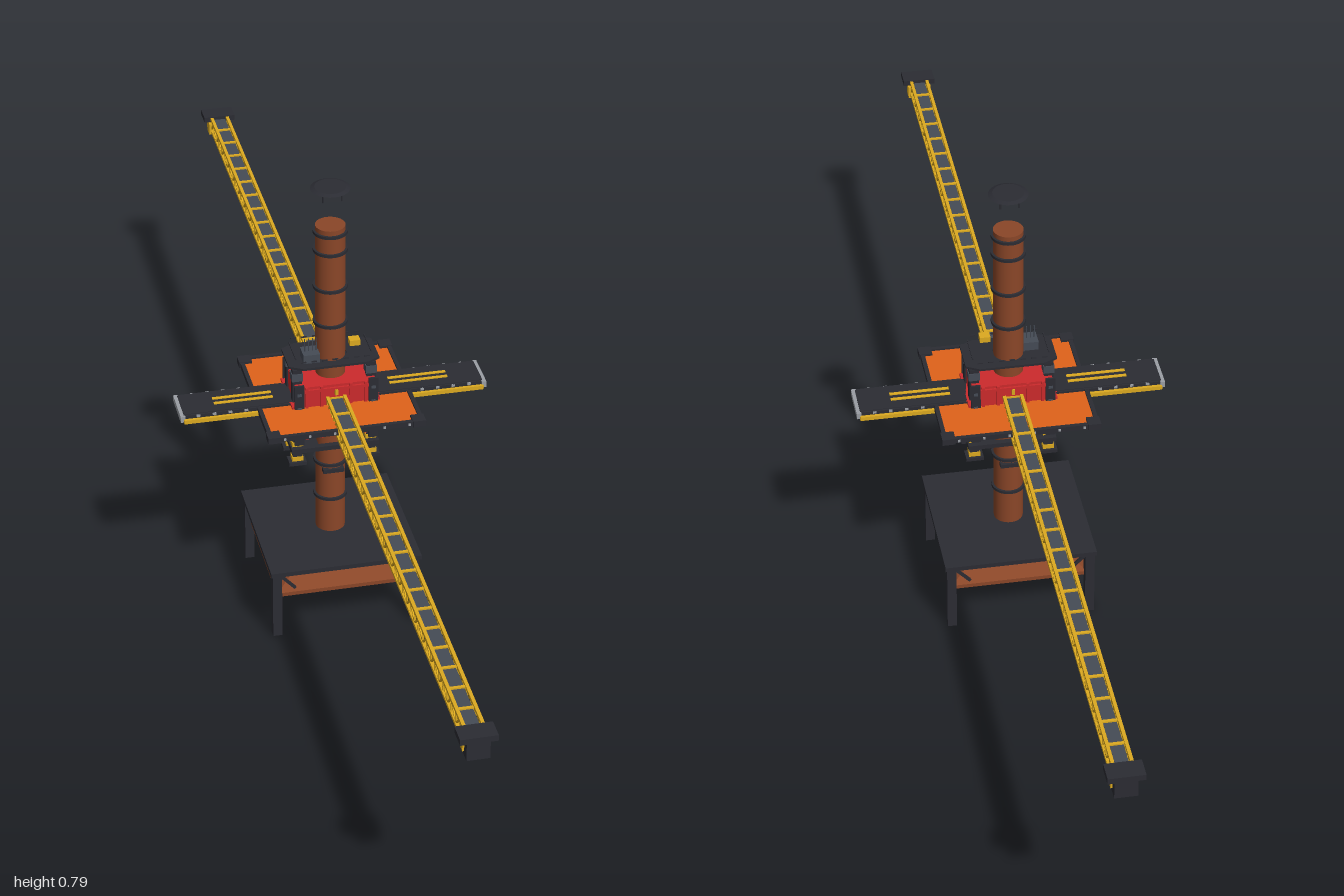
import * as THREE from 'three';

export function createModel() {
  const root = new THREE.Group();
  const mat = (name, color, side = THREE.FrontSide) => {
    const m = new THREE.MeshStandardMaterial({ color, side });
    m.name = name;
    return m;
  };
  const dark = mat('dark steel', 0x2b2c33);
  const brown = mat('rust brown', 0x8a4628, THREE.DoubleSide);
  const red = mat('red paint', 0xcc2a2c);
  const yellow = mat('yellow paint', 0xdcaa20);
  const orange = mat('orange deck', 0xe0621a);
  const grey = mat('light grey', 0x9a9ea4);
  const belt = mat('belt grey', 0x454b55);

  const group = (name, parent = root) => {
    const g = new THREE.Group();
    g.name = name;
    parent.add(g);
    return g;
  };
  const add = (parent, name, geo, m, x = 0, y = 0, z = 0) => {
    const mesh = new THREE.Mesh(geo, m);
    mesh.name = name;
    mesh.position.set(x, y, z);
    parent.add(mesh);
    return mesh;
  };
  const box = (p, name, m, w, h, d, x, y, z) => add(p, name, new THREE.BoxGeometry(w, h, d), m, x, y, z);
  const cyl = (p, name, m, rt, rb, h, x, y, z, n = 24) =>
    add(p, name, new THREE.CylinderGeometry(rt, rb, h, n), m, x, y, z);
  // Square bar between two points
  const strut = (p, name, m, a, b, t) => {
    const A = new THREE.Vector3(...a), B = new THREE.Vector3(...b);
    const mesh = box(p, name, m, t, t, A.distanceTo(B), 0, 0, 0);
    mesh.position.copy(A).lerp(B, 0.5);
    mesh.lookAt(B);
  };
  const signs = [-1, 1];

  // Table on four braced legs
  const base = group('baseTable');
  box(base, 'tableTop', dark, 0.26, 0.008, 0.26, 0, 0.1255, 0);
  for (const sx of signs) for (const sz of signs) {
    box(base, 'tableLeg', dark, 0.016, 0.123, 0.016, sx * 0.119, 0.0615, sz * 0.119);
    strut(base, 'legBrace', dark, [sx * 0.114, 0.119, sz * 0.119], [sx * 0.086, 0.086, sz * 0.114], 0.005);
    strut(base, 'legBrace', dark, [sx * 0.119, 0.119, sz * 0.114], [sx * 0.114, 0.086, sz * 0.086], 0.005);
  }

  // Open hood under the table
  const squareShell = (top, bottom, h) => {
    const g = new THREE.CylinderGeometry(top * Math.SQRT2, bottom * Math.SQRT2, h, 4, 1, true);
    g.rotateY(Math.PI / 4);
    const flat = g.toNonIndexed();
    flat.computeVertexNormals();
    return flat;
  };
  const hood = group('hood');
  add(hood, 'hoodSlope', squareShell(0.05, 0.117, 0.034), brown, 0, 0.0965, 0);
  add(hood, 'hoodSkirt', squareShell(0.117, 0.117, 0.007), brown, 0, 0.076, 0);
  box(hood, 'hoodTop', brown, 0.1, 0.002, 0.1, 0, 0.1135, 0);

  // Chimney stack with bands and rain cap
  const stack = group('stack');
  cyl(stack, 'stackPipe', brown, 0.025, 0.025, 0.602, 0, 0.416, 0, 32);
  for (const y of [0.196, 0.264, 0.332, 0.468, 0.536, 0.603, 0.672, 0.706])
    cyl(stack, 'stackBand', dark, 0.029, 0.029, 0.005, 0, y, 0, 32);
  box(stack, 'stackBracket', dark, 0.036, 0.007, 0.058, 0, 0.254, 0);
  const cap = group('rainCap', stack);
  cyl(cap, 'capDisc', dark, 0.026, 0.033, 0.003, 0, 0.786, 0);
  for (const sx of signs) for (const sz of signs)
    cyl(cap, 'capPin', dark, 0.0015, 0.0015, 0.018, sx * 0.0155, 0.776, sz * 0.0155, 6);

  // Red machine housing with ribs and side covers
  const housing = group('housing');
  box(housing, 'housingBody', red, 0.124, 0.1, 0.09, 0, 0.387, 0);
  for (const s of signs) {
    box(housing, 'sideCover', red, 0.012, 0.062, 0.094, s * 0.069, 0.372, 0);
    box(housing, 'upperSideCover', red, 0.006, 0.034, 0.09, s * 0.065, 0.42, 0);
    for (const z of [-0.03, 0.03]) box(housing, 'coverRib', red, 0.003, 0.06, 0.006, s * 0.0755, 0.372, z);
    for (const x of [-0.05, -0.025, 0.025, 0.05])
      box(housing, 'housingRib', red, 0.005, 0.1, 0.005, x, 0.387, s * 0.046);
    for (const y of [0.345, 0.43])
      box(housing, 'housingRail', red, 0.124, 0.005, 0.004, 0, y, s * 0.0465);
    for (const y of [0.35, 0.366, 0.424])
      box(housing, 'centreMark', yellow, 0.005, 0.01, 0.006, 0, y, s * 0.048);
    box(housing, 'clampBar', dark, 0.11, 0.008, 0.006, 0, 0.378, s * 0.049);
  }

  // Tall side posts with striped feet
  const frame = group('postFrame');
  for (const sx of signs) {
    for (const sz of signs) {
      const x = sx * 0.063, z = sz * 0.025;
      box(frame, 'post', dark, 0.016, 0.18, 0.014, x, 0.374, z);
      box(frame, 'postHead', belt, 0.019, 0.014, 0.017, x, 0.45, z);
      box(frame, 'postFoot', dark, 0.03, 0.006, 0.024, x, 0.282, z);
      for (const y of [0.29, 0.319]) box(frame, 'postStripe', yellow, 0.019, 0.008, 0.017, x, y, z);
      // Outer rail over the housing face
      box(frame, 'faceRail', dark, 0.016, 0.116, 0.004, x, 0.385, sz * 0.0475);
      for (let i = 0; i < 4; i++)
        box(frame, 'railBolt', belt, 0.007, 0.005, 0.003, x, 0.345 + i * 0.027, sz * 0.049);
    }
    box(frame, 'lowerCrossBeam', dark, 0.15, 0.008, 0.01, 0, 0.311, sx * 0.038);
    box(frame, 'lowerSideBeam', dark, 0.012, 0.008, 0.084, sx * 0.069, 0.311, 0);
    box(frame, 'lowerWalk', dark, 0.03, 0.004, 0.076, sx * 0.042, 0.311, 0);
  }

  // Upper service platform with railing and equipment
  const platform = group('upperPlatform');
  const deck = new THREE.Shape([[-0.077, -0.03], [-0.055, -0.042], [0.055, -0.042], [0.077, -0.03],
    [0.077, 0.03], [0.055, 0.042], [-0.055, 0.042], [-0.077, 0.03]].map(p => new THREE.Vector2(...p)));
  deck.holes.push(new THREE.Path().absarc(0, 0, 0.027, 0, Math.PI * 2, true));
  const deckGeo = new THREE.ExtrudeGeometry(deck, { depth: 0.004, bevelEnabled: false });
  deckGeo.rotateX(-Math.PI / 2);
  add(platform, 'platformDeck', deckGeo, dark, 0, 0.468, 0);
  for (const s of signs) {
    for (let i = 0; i < 7; i++)
      box(platform, 'railing', dark, 0.009, 0.002, 0.002, -0.054 + i * 0.018, 0.483, s * 0.04);
    box(platform, 'railing', dark, 0.002, 0.002, 0.056, s * 0.064, 0.483, 0);
  }
  box(platform, 'controlBox', belt, 0.028, 0.017, 0.03, -0.037, 0.479, 0.012);
  for (let i = 0; i < 4; i++)
    cyl(platform, 'antenna', belt, 0.001, 0.001, 0.024, -0.046 + i * 0.0065, 0.499, 0.012, 6);
  box(platform, 'lampBox', yellow, 0.018, 0.01, 0.016, 0.038, 0.497, 0.012);

  // Orange deck with a dark studded border
  const tray = group('orangeDeck');
  box(tray, 'deckPlate', orange, 0.25, 0.005, 0.25, 0, 0.396, 0);
  for (const s of signs) {
    box(tray, 'deckEdge', dark, 0.262, 0.009, 0.007, 0, 0.397, s * 0.1275);
    box(tray, 'deckEdge', dark, 0.007, 0.009, 0.262, s * 0.1275, 0.397, 0);
    for (const t of signs) box(tray, 'deckCorner', dark, 0.022, 0.011, 0.022, s * 0.122, 0.397, t * 0.122);
    for (let i = -5; i <= 5; i++)
      if (i % 2) box(tray, 'edgeLight', grey, 0.004, 0.004, 0.002, i * 0.021, 0.397, s * 0.1315);
  }

  // Short side conveyors with yellow rims
  for (const s of signs) {
    const arm = group(s > 0 ? 'leftConveyor' : 'rightConveyor');
    box(arm, 'conveyorBelt', dark, 0.19, 0.01, 0.06, s * 0.16, 0.398, 0);
    box(arm, 'endPlate', grey, 0.008, 0.011, 0.07, s * 0.257, 0.396, 0);
    for (const t of signs) {
      box(arm, 'centreStripe', yellow, 0.1, 0.002, 0.006, s * 0.15, 0.4035, t * 0.0075);
      box(arm, 'sideSkirt', yellow, 0.195, 0.007, 0.009, s * 0.158, 0.3925, t * 0.0345);
      box(arm, 'sideRail', dark, 0.19, 0.006, 0.004, s * 0.158, 0.399, t * 0.0315);
      for (let i = 0; i < 4; i++)
        box(arm, 'railBolt', grey, 0.006, 0.004, 0.002, s * (0.15 + i * 0.027), 0.4, t * 0.0335);
    }
  }

  // Long lattice booms with an inner belt and end heads
  const bays = 36, z0 = 0.045, z1 = 0.972, step = (z1 - z0) / bays;
  const hw = 0.0145, yLow = 0.387, yTop = 0.412;
  for (const s of signs) {
    const boom = group(s > 0 ? 'frontBoom' : 'backBoom');
    box(boom, 'boomBelt', belt, 0.021, 0.004, z1 - z0, 0, 0.408, s * (z0 + z1) / 2);
    for (const sx of signs) for (const y of [yLow, yTop])
      box(boom, 'chord', yellow, 0.0055, 0.0055, z1 - z0, sx * hw, y, s * (z0 + z1) / 2);
    for (let i = 0; i <= bays; i++) {
      const za = s * (z0 + i * step), zb = za + s * step;
      box(boom, 'lowerTie', yellow, 2 * hw, 0.003, 0.004, 0, yLow, za);
      if (i % 2 === 0) box(boom, 'upperTie', yellow, 2 * hw, 0.003, 0.005, 0, yTop - 0.001, za);
      for (const sx of signs) {
        box(boom, 'upright', yellow, 0.003, yTop - yLow, 0.003, sx * hw, (yTop + yLow) / 2, za);
        if (i === bays) continue;
        const [ya, yb] = i % 2 ? [yTop, yLow] : [yLow, yTop];
        strut(boom, 'diagonal', yellow, [sx * hw, ya, za], [sx * hw, yb, zb], 0.003);
      }
      if (i < bays) {
        const d = i % 2 ? hw : -hw;
        strut(boom, 'lowerDiagonal', yellow, [d, yLow, za], [-d, yLow, zb], 0.003);
      }
    }
    const head = group('boomHead', boom);
    box(head, 'headTop', dark, 0.058, 0.01, 0.034, 0, 0.411, s * 0.983);
    box(head, 'headBlock', dark, 0.036, 0.03, 0.02, 0, 0.389, s * 0.987);
    for (const sx of signs) box(head, 'headCheek', yellow, 0.004, 0.022, 0.022, sx * 0.019, 0.393, s * 0.972);
  }
  return root;
}
